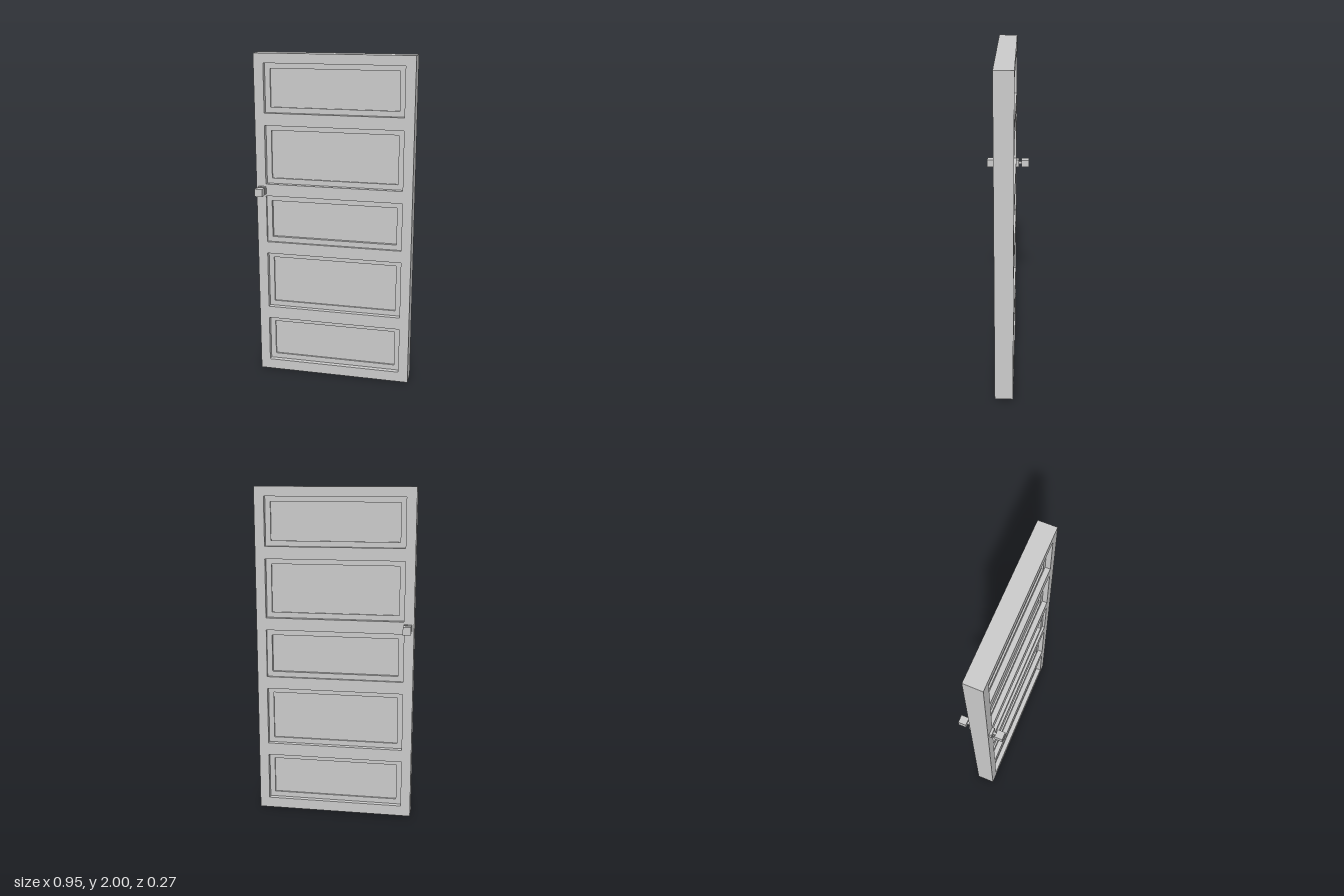
import * as THREE from 'three';

const material = new THREE.MeshStandardMaterial({ color: 0xcccccc, flatShading: true });
const HALF = 0.055;   // half the door thickness
const LEDGE = 0.032;  // width of the step around each panel
const PANEL_X = 0.416;

// Panels: bottom, top, depth of the step, depth of the field
const PANELS = [
  [0.064, 0.353, 0.03, 0.04],
  [0.429, 0.784, 0.03, 0.04],
  [0.858, 1.15, 0.015, 0.035],
  [1.224, 1.579, 0.03, 0.04],
  [1.653, 1.943, 0.03, 0.04],
];

function rect(Type, halfWidth, bottom, top) {
  const r = new Type();
  r.moveTo(-halfWidth, bottom);
  r.lineTo(halfWidth, bottom);
  r.lineTo(halfWidth, top);
  r.lineTo(-halfWidth, top);
  r.closePath();
  return r;
}

function add(parent, name, geometry, x = 0, y = 0, z = 0) {
  const mesh = new THREE.Mesh(geometry, material);
  mesh.name = name;
  mesh.position.set(x, y, z);
  parent.add(mesh);
  return mesh;
}

// Slab with holes, centred on z = 0
function slab(shape, halfDepth) {
  return new THREE.ExtrudeGeometry(shape, { depth: 2 * halfDepth, bevelEnabled: false })
    .translate(0, 0, -halfDepth);
}

export function createModel() {
  const door = new THREE.Group();
  door.name = 'door';

  // Stiles and rails as one frame with five openings
  const frame = rect(THREE.Shape, 0.475, 0, 2);
  for (const [bottom, top] of PANELS) frame.holes.push(rect(THREE.Path, PANEL_X, bottom, top));
  add(door, 'frame', slab(frame, HALF));

  // Stepped recessed panels, the same on both faces
  PANELS.forEach(([bottom, top, stepDepth, fieldDepth], i) => {
    const panel = new THREE.Group();
    panel.name = `panel${i + 1}`;
    const w = PANEL_X - LEDGE, b = bottom + LEDGE, t = top - LEDGE;
    const ledge = rect(THREE.Shape, PANEL_X, bottom, top);
    ledge.holes.push(rect(THREE.Path, w, b, t));
    add(panel, 'panelLedge', slab(ledge, HALF - stepDepth));
    add(panel, 'panelField', new THREE.BoxGeometry(2 * w, t - b, 2 * (HALF - fieldDepth)), 0, (b + t) / 2);
    door.add(panel);
  });

  // Square knobs, front and back
  for (const [side, name] of [[1, 'frontKnob'], [-1, 'backKnob']]) {
    const knob = new THREE.Group();
    knob.name = name;
    knob.position.set(-0.438, 1.186, 0);
    add(knob, 'rosette', new THREE.BoxGeometry(0.047, 0.047, 0.02), 0, 0, side * 0.06);
    add(knob, 'stem', new THREE.BoxGeometry(0.016, 0.016, 0.025), 0, 0, side * 0.079);
    add(knob, 'handle', new THREE.BoxGeometry(0.047, 0.047, 0.047), 0, 0, side * 0.1115);
    door.add(knob);
  }
  return door;
}
